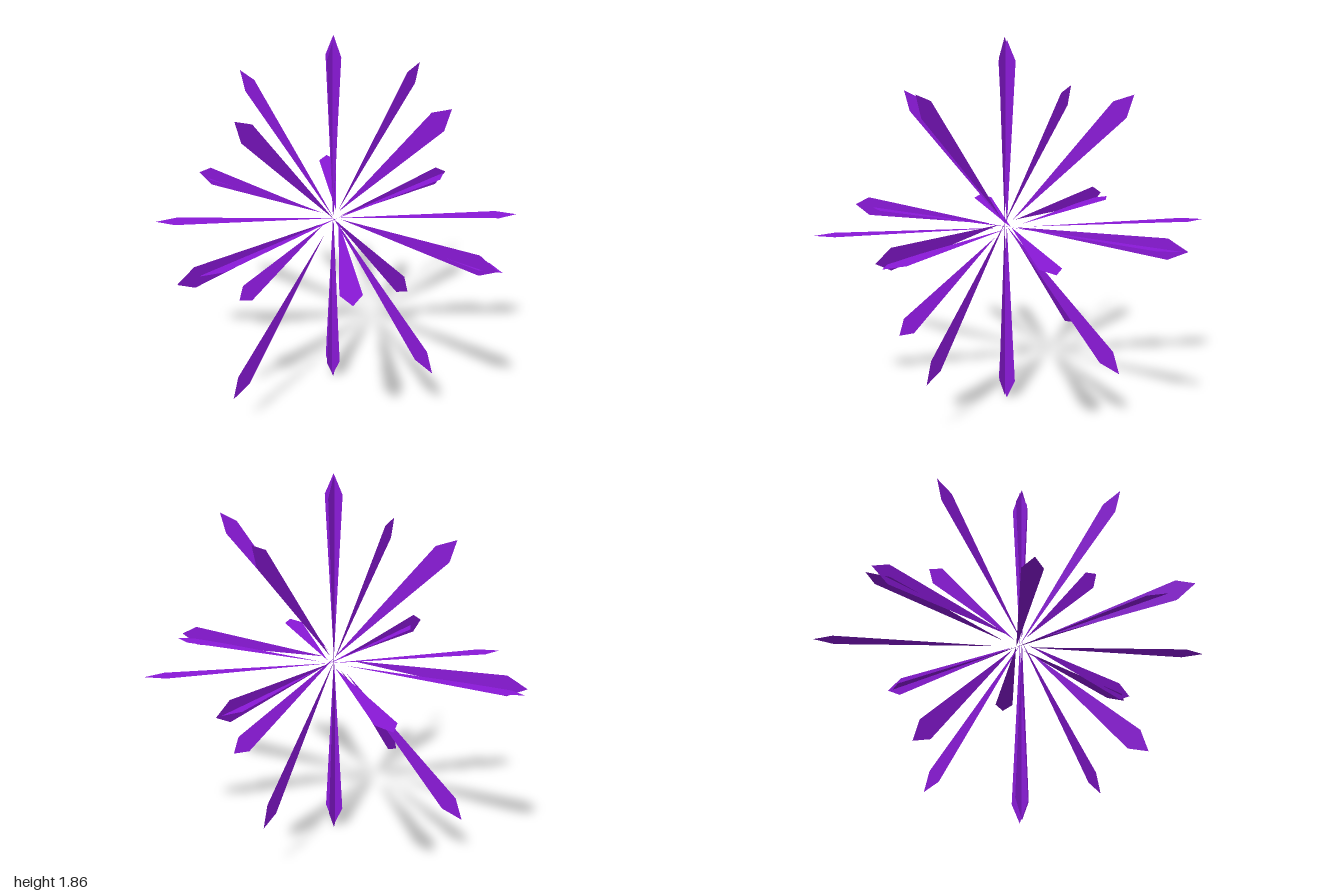
import * as THREE from 'three';

const LENGTH = 0.92, SHOULDER = 0.82, HALF_WIDTH = 0.05;

// Flat blade: needle point at the origin, widest near the outer tip, along +x
function bladeGeometry() {
  const shape = new THREE.Shape([
    new THREE.Vector2(0, 0),
    new THREE.Vector2(SHOULDER, -HALF_WIDTH),
    new THREE.Vector2(LENGTH, 0),
    new THREE.Vector2(SHOULDER, HALF_WIDTH),
  ]);
  return new THREE.ShapeGeometry(shape);
}

// Inner point of each blade, going round in 45 degree steps from +x
const INNER_POINTS = [
  [0.075, 0], [0.056, 0.037], [0.02, 0], [0.02, 0],
  [-0.08, 0], [-0.054, -0.07], [0.02, 0], [0.018, 0],
];

export function createModel() {
  const model = new THREE.Group();
  model.name = 'starburst';
  const material = new THREE.MeshStandardMaterial({ color: 0x8a18d8, side: THREE.DoubleSide });
  const geometry = bladeGeometry();

  // One flat ring of eight blades
  function bladeRing(name, position, rotation) {
    const ring = new THREE.Group();
    ring.name = name;
    INNER_POINTS.forEach(([x, y], i) => {
      const blade = new THREE.Mesh(geometry, material);
      blade.name = 'blade';
      blade.position.set(x, y, 0);
      blade.rotation.z = i * Math.PI / 4;
      ring.add(blade);
    });
    ring.position.set(...position);
    ring.rotation.set(...rotation);
    model.add(ring);
  }

  // Three rings at right angles to each other
  bladeRing('frontRing', [0, 0.94, -0.01], [0, 0, 0]);
  bladeRing('sideRing', [0.015, 0.925, 0], [0, Math.PI / 2, 0]);
  bladeRing('levelRing', [0, 0.922, -0.048], [Math.PI / 2, 0, 0]);
  return model;
}
